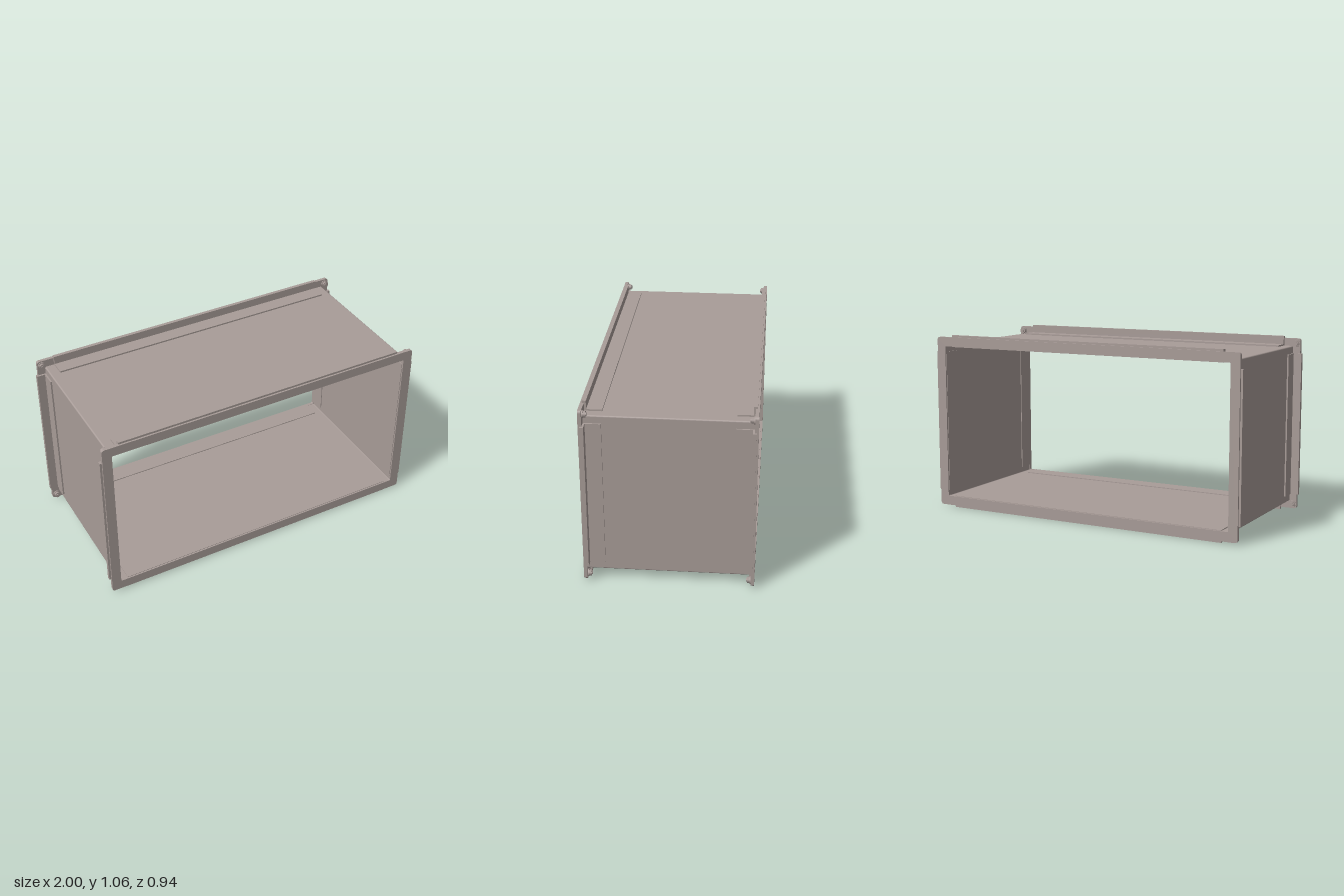
import * as THREE from 'three';

const steel = new THREE.MeshStandardMaterial({ color: 0xa89c98 });
steel.name = 'galvanised steel';

const CY = 0.53; // height of the duct axis

// Rounded rectangle centred on the origin
function roundedRect(path, hw, hh, r) {
  path.moveTo(-hw + r, -hh);
  path.lineTo(hw - r, -hh);
  path.absarc(hw - r, -hh + r, r, -Math.PI / 2, 0);
  path.absarc(hw - r, hh - r, r, 0, Math.PI / 2);
  path.absarc(-hw + r, hh - r, r, Math.PI / 2, Math.PI);
  path.absarc(-hw + r, -hh + r, r, Math.PI, Math.PI * 1.5);
  return path;
}

// Rectangular ring extruded along z
function ring(name, outer, inner, z0, z1) {
  const shape = roundedRect(new THREE.Shape(), ...outer);
  shape.holes.push(roundedRect(new THREE.Path(), ...inner));
  const geo = new THREE.ExtrudeGeometry(shape, { depth: z1 - z0, bevelEnabled: false, curveSegments: 5 });
  const mesh = new THREE.Mesh(geo, steel);
  mesh.name = name;
  mesh.position.set(0, CY, z0);
  return mesh;
}

// Box given by its lower and upper limits
function box(name, x0, x1, y0, y1, z0, z1) {
  const mesh = new THREE.Mesh(new THREE.BoxGeometry(x1 - x0, y1 - y0, z1 - z0), steel);
  mesh.name = name;
  mesh.position.set((x0 + x1) / 2, (y0 + y1) / 2, (z0 + z1) / 2);
  return mesh;
}

// Angle profile along one side; outward is +y, duct wall face at y = 0
function anglePiece(name, halfLength) {
  const g = new THREE.Group();
  g.name = name;
  const h = halfLength;
  g.add(
    box('outerStrip', -h, h, 0, 0.009, 0.353, 0.45),
    box('innerStrip', -h, h, -0.014, -0.009, 0.353, 0.46),
    box('uprightLeg', -h, h, 0, 0.057, 0.438, 0.45),
    box('edgeLip', -h, h, 0.044, 0.057, 0.438, 0.459)
  );
  return g;
}

// Flange frame with four angle pieces and corner bolts, built facing +z
function flangeEnd(name) {
  const g = new THREE.Group();
  g.name = name;
  g.add(ring('flangeFrame', [0.986, 0.516, 0.016], [0.93, 0.46, 0.006], 0.449, 0.469));

  for (const s of [1, -1]) {
    const horizontal = anglePiece(s > 0 ? 'topAngle' : 'bottomAngle', 0.885);
    horizontal.position.set(0, CY + s * 0.471, 0);
    horizontal.rotation.z = s > 0 ? 0 : Math.PI;
    const vertical = anglePiece(s > 0 ? 'leftAngle' : 'rightAngle', 0.427);
    vertical.position.set(s * 0.941, CY, 0);
    vertical.rotation.z = -s * Math.PI / 2;
    g.add(horizontal, vertical);

    // Corner bolts: washer, hexagon nut and stud
    for (const t of [1, -1]) {
      const bolt = new THREE.Group();
      bolt.name = 'cornerBolt';
      for (const [part, r, sides, z0, z1] of [
        ['washer', 0.022, 20, 0.443, 0.45],
        ['nut', 0.019, 6, 0.429, 0.443],
        ['stud', 0.01, 14, 0.424, 0.429]]) {
        const mesh = new THREE.Mesh(new THREE.CylinderGeometry(r, r, z1 - z0, sides).rotateX(Math.PI / 2), steel);
        mesh.name = part;
        mesh.position.z = (z0 + z1) / 2;
        bolt.add(mesh);
      }
      bolt.position.set(s * 0.96, CY + t * 0.488, 0);
      g.add(bolt);
    }
  }
  return g;
}

export function createModel() {
  const model = new THREE.Group();
  model.name = 'rectangularDuct';

  // Thin sheet walls, open at both ends
  model.add(ring('ductWalls', [0.941, 0.471, 0.008], [0.932, 0.462, 0.004], -0.45, 0.45));

  const front = flangeEnd('frontFlange');
  const back = flangeEnd('backFlange');
  back.rotation.y = Math.PI;
  model.add(front, back);
  return model;
}
